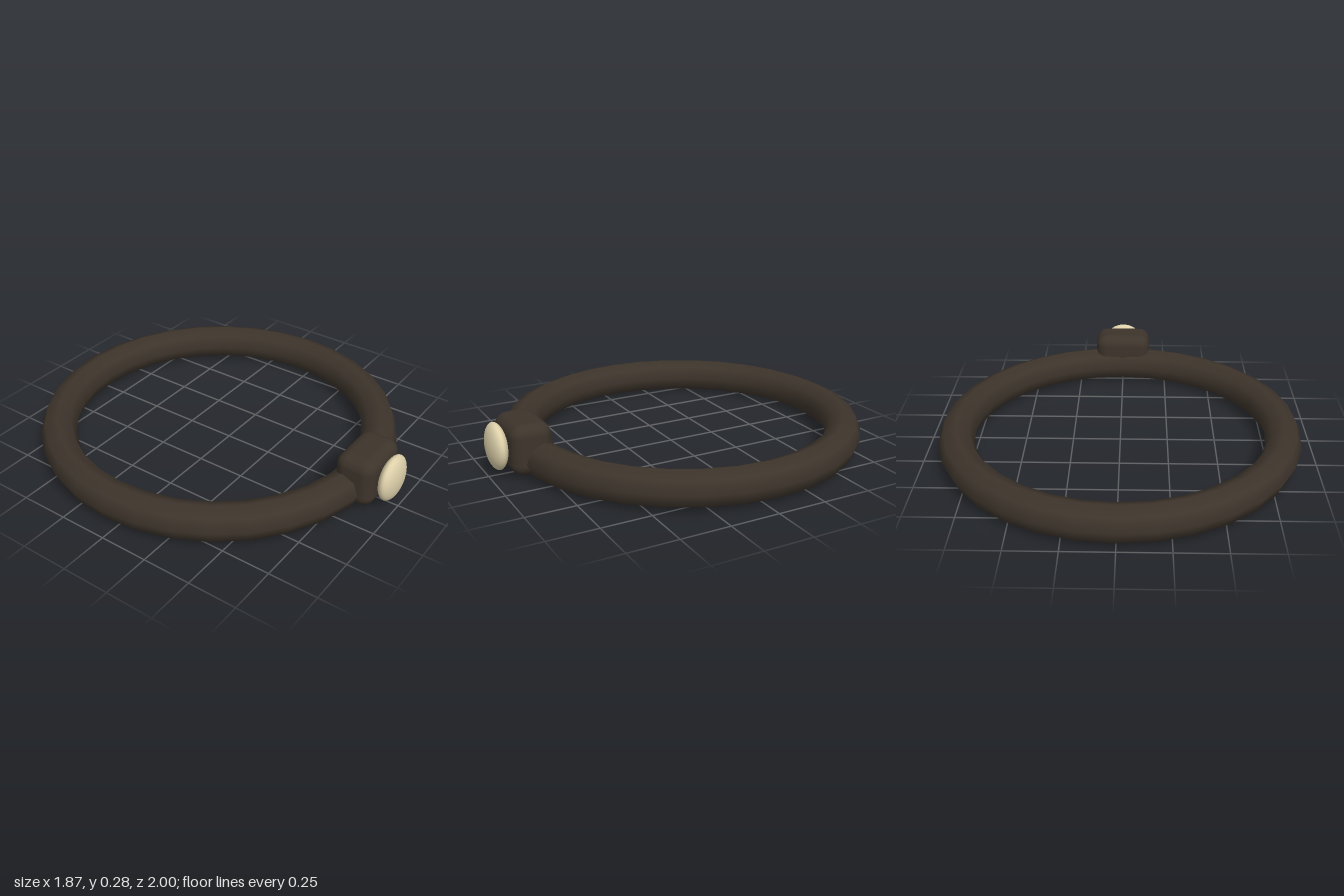
import * as THREE from 'three';
import { RoundedBoxGeometry } from 'three/addons/geometries/RoundedBoxGeometry.js';

export function createModel() {
  const model = new THREE.Group();
  model.name = 'braceletWithStone';

  const darkBand = new THREE.MeshStandardMaterial({ color: 0x3d342b });
  darkBand.name = 'dark brown';
  const cream = new THREE.MeshStandardMaterial({ color: 0xddd0aa });
  cream.name = 'cream';

  const add = (name, geometry, material, x, y, z) => {
    const mesh = new THREE.Mesh(geometry, material);
    mesh.name = name;
    mesh.position.set(x, y, z);
    model.add(mesh);
    return mesh;
  };

  // Ring lying flat, eight-sided in section
  const ring = new THREE.TorusGeometry(0.844, 0.092, 8, 32).rotateX(Math.PI / 2);
  add('band', ring, darkBand, 0, 0.093, -0.064);

  // Rounded block that holds the stone
  add('setting', new RoundedBoxGeometry(0.31, 0.255, 0.205, 4, 0.06), darkBand, 0, 0.149, 0.815);

  // Flattened round stone on the front
  const stone = new THREE.SphereGeometry(1, 32, 20).scale(0.117, 0.117, 0.047);
  add('stone', stone, cream, 0, 0.151, 0.953);

  return model;
}
